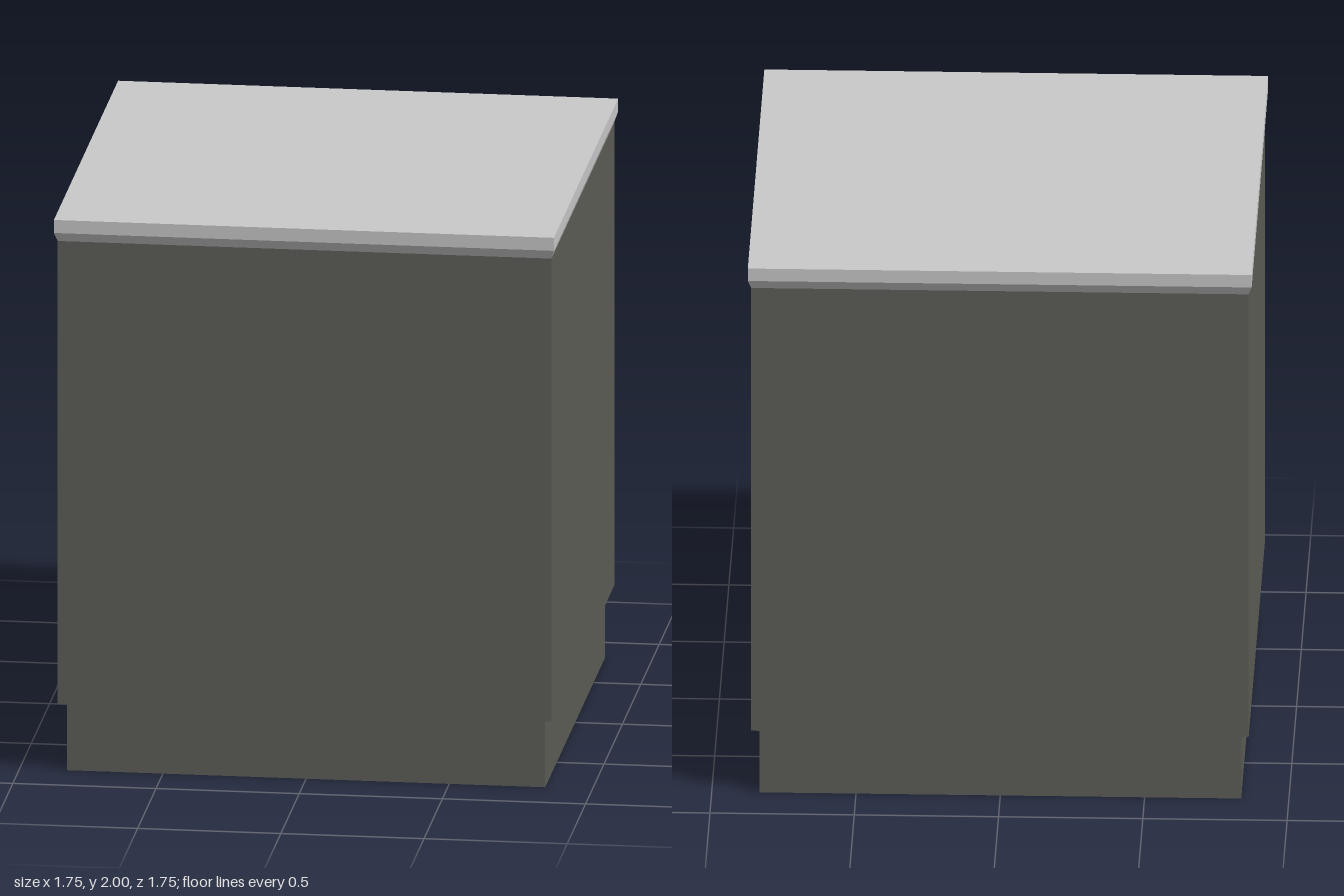
import * as THREE from 'three';

export function createModel() {
  const cabinetGrey = new THREE.MeshStandardMaterial({ color: 0x5e5e58 });
  cabinetGrey.name = 'cabinet dark grey';
  const worktopGrey = new THREE.MeshStandardMaterial({ color: 0xcacaca });
  worktopGrey.name = 'worktop light grey';

  const model = new THREE.Group();
  model.name = 'baseCabinet';

  // Block between two heights; the lower rim may be narrower than the upper one
  function block(name, material, y0, y1, topX, topZ, bottomX = topX, bottomZ = topZ) {
    const geometry = new THREE.BoxGeometry(topX * 2, y1 - y0, topZ * 2);
    const p = geometry.attributes.position;
    for (let i = 0; i < p.count; i++) {
      if (p.getY(i) < 0) {
        p.setX(i, Math.sign(p.getX(i)) * bottomX);
        p.setZ(i, Math.sign(p.getZ(i)) * bottomZ);
      }
    }
    geometry.computeVertexNormals();
    const mesh = new THREE.Mesh(geometry, material);
    mesh.name = name;
    mesh.position.y = (y0 + y1) / 2;
    model.add(mesh);
  }

  // Recessed plinth and main carcass
  block('plinth', cabinetGrey, 0, 0.25, 0.835, 0.813);
  block('carcass', cabinetGrey, 0.25, 1.92, 0.862, 0.855);

  // Worktop: chamfered underside below a thin slab
  block('worktopChamfer', worktopGrey, 1.92, 1.953, 0.873, 0.873, 0.862, 0.857);
  block('worktopSlab', worktopGrey, 1.953, 2, 0.873, 0.873);

  return model;
}
